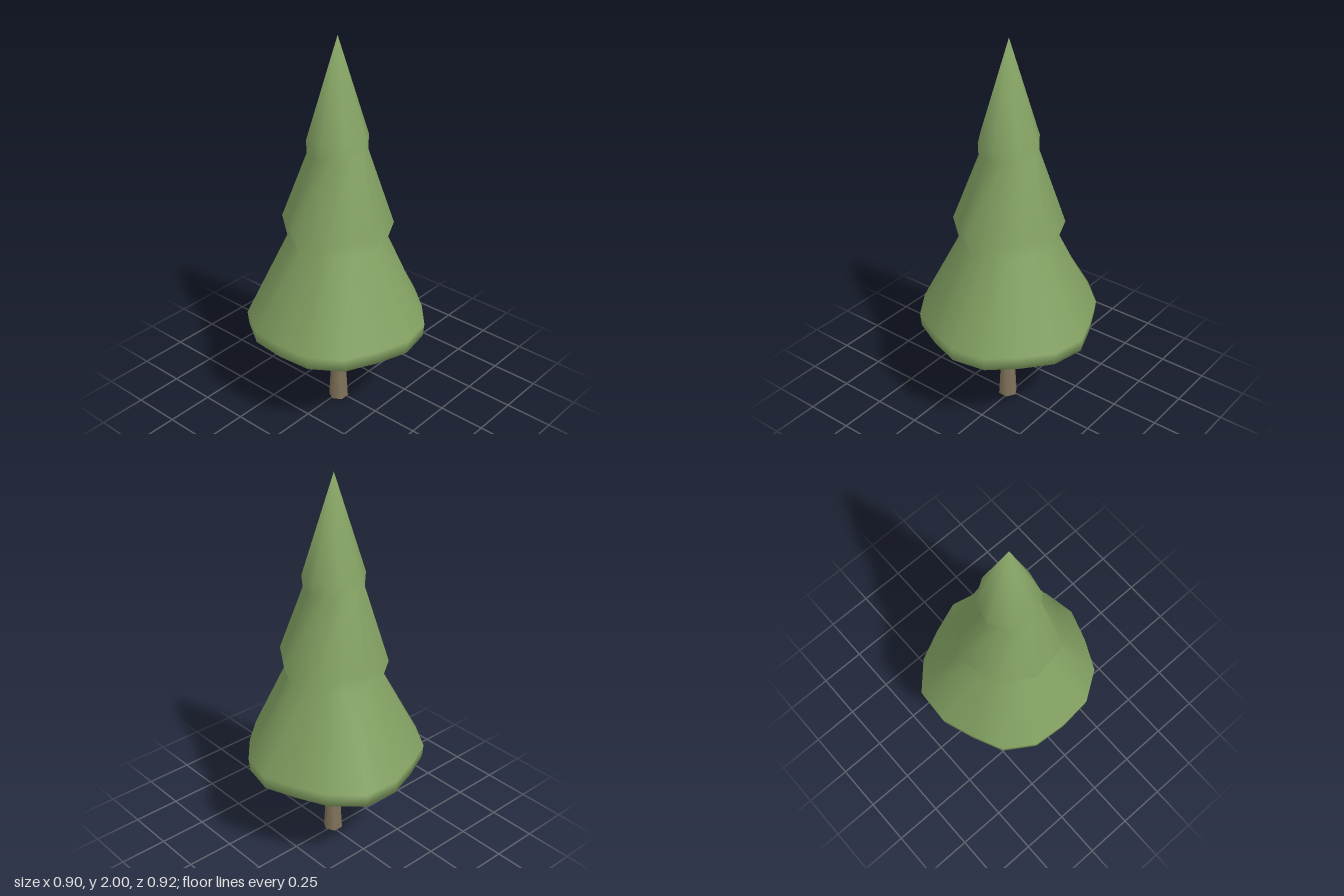
import * as THREE from 'three';

const SIDES = 16;
const AXIS_X = -0.013;
const TIP = 2;

// Uneven outline of the lowest branches, starting at +x and turning towards +z
const SKIRT = [0.458, 0.455, 0.435, 0.46, 0.457, 0.435, 0.46, 0.46,
  0.44, 0.46, 0.463, 0.435, 0.46, 0.487, 0.456, 0.43];

// Octagon sampled at its corners and edge midpoints
const octagon = (r) => (i) => (i % 2 ? r * Math.cos(Math.PI / 8) : r);
const skirt = (scale) => (i) => SKIRT[i] * scale;

// Rings from the underside upwards: height, radius rule, twist in degrees
const RINGS = [
  [0.437, octagon(0.37), 0],
  [0.47, skirt(0.985), 0],
  [0.54, skirt(1), 0],
  [0.97, octagon(0.25), 6],
  [1.065, octagon(0.277), 11.5],
  [1.43, octagon(0.148), -5],
  [1.5, octagon(0.154), -11],
];

function foliageGeometry() {
  const points = [];
  const index = [];
  for (const [y, radius, twist] of RINGS) {
    for (let i = 0; i < SIDES; i++) {
      const a = (i / SIDES) * Math.PI * 2 + THREE.MathUtils.degToRad(twist);
      points.push(Math.cos(a) * radius(i), y, Math.sin(a) * radius(i));
    }
  }
  points.push(0, TIP, 0);
  const tip = RINGS.length * SIDES;

  for (let j = 0; j < RINGS.length; j++) {
    for (let i = 0; i < SIDES; i++) {
      const a = j * SIDES + i;
      const b = j * SIDES + ((i + 1) % SIDES);
      if (j === RINGS.length - 1) index.push(b, a, tip);
      else index.push(b, a, a + SIDES, b, a + SIDES, b + SIDES);
    }
  }
  const geometry = new THREE.BufferGeometry();
  geometry.setAttribute('position', new THREE.Float32BufferAttribute(points, 3));
  geometry.setIndex(index);
  geometry.computeVertexNormals();
  return geometry;
}

export function createModel() {
  const group = new THREE.Group();
  group.name = 'coniferTree';

  const leafGreen = new THREE.MeshStandardMaterial({ color: 0x84a263 });
  leafGreen.name = 'leafGreen';
  const barkBrown = new THREE.MeshStandardMaterial({ color: 0x80735a });
  barkBrown.name = 'barkBrown';

  const add = (name, geometry, material, x, y, z) => {
    const mesh = new THREE.Mesh(geometry, material);
    mesh.name = name;
    mesh.position.set(x, y, z);
    group.add(mesh);
  };

  // Three flowing tiers of branches
  add('foliage', foliageGeometry(), leafGreen, AXIS_X, 0, 0);

  // Flat underside closing the lowest tier
  const underside = new THREE.CircleGeometry(0.37, 8).rotateX(Math.PI / 2);
  add('foliageUnderside', underside, leafGreen, AXIS_X, RINGS[0][0], 0);

  // Tapered six-sided trunk
  const trunk = new THREE.CylinderGeometry(0.026, 0.051, 0.44, 6).rotateY(Math.PI / 6 * 3);
  add('trunk', trunk, barkBrown, -0.016, 0.22, 0.008);

  return group;
}
